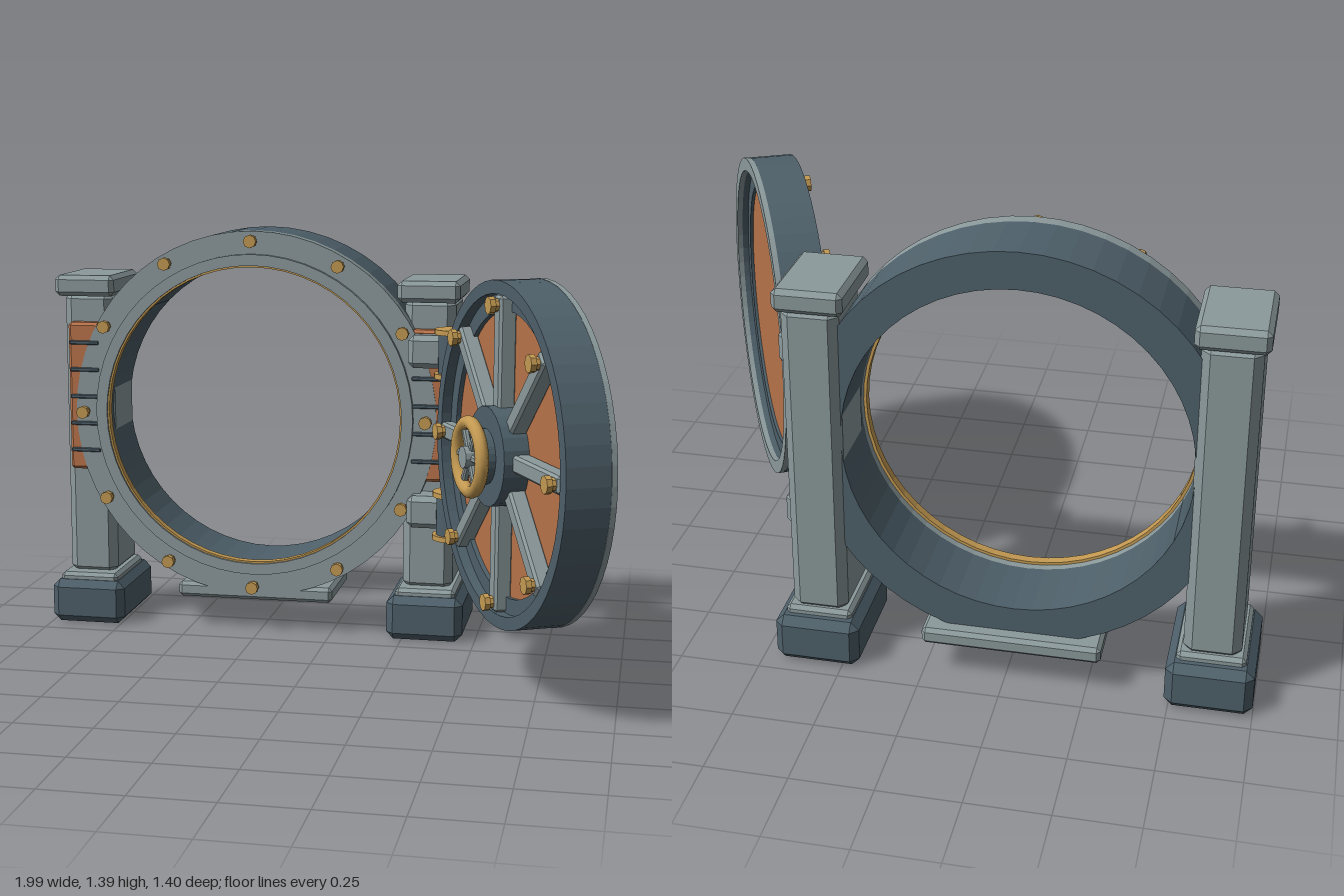
import * as THREE from 'three';
import { ConvexGeometry } from 'three/addons/geometries/ConvexGeometry.js';

const mat = (name, color) => {
  const m = new THREE.MeshStandardMaterial({ color });
  m.name = name;
  return m;
};

// Faceted normals baked into the geometry
const facet = (g) => {
  const f = g.index ? g.toNonIndexed() : g;
  f.computeVertexNormals();
  return f;
};

// Box with every edge chamfered by c
function chamferBox(w, h, d, c) {
  const pts = [], s = [w / 2, h / 2, d / 2];
  for (const i of [-1, 1]) for (const j of [-1, 1]) for (const k of [-1, 1]) {
    for (let full = 0; full < 3; full++) {
      const p = [i, j, k].map((sign, a) => sign * (a === full ? s[a] : s[a] - c));
      pts.push(new THREE.Vector3(...p));
    }
  }
  return new ConvexGeometry(pts);
}

// Square-section ring (or disc when rIn is 0) around the z axis
function ringGeo(rIn, rOut, z0, z1, seg = 56) {
  const pts = [[rIn, z0], [rOut, z0], [rOut, z1], [rIn, z1]];
  if (rIn > 0) pts.push([rIn, z0]);
  const g = new THREE.LatheGeometry(pts.map((p) => new THREE.Vector2(...p)), seg);
  return facet(g.rotateX(Math.PI / 2));
}

export function createModel() {
  const stone = mat('light grey metal', 0x8c9a9c);
  const slate = mat('dark slate metal', 0x4e606a);
  const copper = mat('copper', 0xb8734a);
  const brass = mat('brass', 0xc49a52);
  const model = new THREE.Group();
  model.name = 'roundDoorway';

  const add = (parent, name, geo, material, x = 0, y = 0, z = 0) => {
    const m = new THREE.Mesh(geo, material);
    m.name = name;
    m.position.set(x, y, z);
    parent.add(m);
    return m;
  };
  // Chamfered box given by its extents
  const block = (parent, name, material, x0, x1, y0, y1, z0, z1, c) =>
    add(parent, name, chamferBox(x1 - x0, y1 - y0, z1 - z0, c), material,
      (x0 + x1) / 2, (y0 + y1) / 2, (z0 + z1) / 2);
  // Bolt: slim shank with a wider head, pointing along +z
  const bolt = (parent, x, y, z, r, len) => {
    const g = new THREE.Group();
    g.name = 'bolt';
    g.position.set(x, y, z);
    add(g, 'boltShank', ringGeo(0, r * 0.75, -0.01, len * 0.5, 8), brass);
    add(g, 'boltHead', ringGeo(0, r, len * 0.45, len, 8), brass);
    parent.add(g);
  };

  // Round frame
  const CX = -0.27, CY = 0.757;
  const frame = new THREE.Group();
  frame.name = 'frame';
  frame.position.set(CX, CY, 0);
  model.add(frame);
  add(frame, 'frameBarrel', ringGeo(0.518, 0.63, -0.632, -0.4), slate);
  add(frame, 'frameFlange', ringGeo(0.518, 0.63, -0.4, -0.355), stone);
  add(frame, 'frameLip', ringGeo(0.515, 0.553, -0.356, -0.336), stone);
  add(frame, 'frameLiner', ringGeo(0.509, 0.522, -0.375, -0.345), brass);
  for (let i = 0; i < 12; i++) {
    const a = (i * Math.PI) / 6;
    bolt(frame, 0.597 * Math.cos(a), 0.597 * Math.sin(a), -0.355, 0.022, 0.043);
  }

  // Sill under the frame
  block(model, 'sill', stone, -0.543, 0.003, 0.107, 0.16, -0.68, -0.36, 0.012);

  // Posts with louvred copper panels
  for (const side of [-1, 1]) {
    const post = new THREE.Group();
    post.name = side < 0 ? 'rightPost' : 'leftPost';
    post.position.x = CX + side * 0.598;
    model.add(post);
    block(post, 'postBase', slate, -0.131, 0.131, 0, 0.152, -0.706, -0.322, 0.025);
    block(post, 'postPlinth', stone, -0.103, 0.103, 0.14, 0.176, -0.665, -0.35, 0.012);
    block(post, 'postShaft', stone, -0.086, 0.086, 0.16, 1.17, -0.655, -0.4, 0.027);
    block(post, 'postCap', stone, -0.105, 0.105, 1.155, 1.227, -0.668, -0.358, 0.015);
    block(post, 'copperPanel', copper, -0.059, 0.059, 0.55, 1.065, -0.41, -0.358, 0.01);
    for (let i = 0; i < 5; i++) {
      const y = 0.62 + i * 0.094;
      block(post, 'panelSlat', slate, -0.052, 0.052, y - 0.007, y + 0.007, -0.37, -0.35, 0.003);
    }
  }

  // Hinges
  const HX = 0.432, HZ = -0.292;
  const cyl = (r, h, n = 20) => facet(new THREE.CylinderGeometry(r, r, h, n));
  add(model, 'hingePin', cyl(0.022, 0.6, 12), stone, HX, 0.728, HZ);
  for (const y of [0.455, 0.998]) {
    const hinge = new THREE.Group();
    hinge.name = 'hinge';
    hinge.position.y = y;
    model.add(hinge);
    add(hinge, 'hingeBarrel', cyl(0.06, 0.14), slate, HX, 0, HZ);
    for (const s of [-1, 1]) add(hinge, 'hingeCollar', cyl(0.073, 0.017), brass, HX, s * 0.073, HZ);
    block(hinge, 'hingeSideBracket', stone, 0.385, 0.45, -0.055, 0.055, -0.57, -0.3, 0.018);
    block(hinge, 'hingeFrontBracket', stone, 0.268, 0.42, -0.055, 0.055, -0.42, -0.3, 0.018);
  }

  // Open door, hinged at its local -x edge
  const door = new THREE.Group();
  door.name = 'door';
  door.position.set(0.684, CY, 0.187);
  door.rotation.y = -1.105;
  model.add(door);
  add(door, 'doorRim', ringGeo(0.488, 0.529, -0.06, 0.0775), slate);
  add(door, 'doorBackRing', ringGeo(0.488, 0.53, -0.0775, -0.06), stone);
  add(door, 'doorInnerRing', ringGeo(0.438, 0.49, -0.04, 0.045), slate);
  add(door, 'doorPanel', ringGeo(0, 0.442, -0.03, 0.03), copper);
  for (const y of [-0.272, 0.271]) {
    block(door, 'hingeStrap', stone, -0.545, -0.43, y - 0.05, y + 0.05, -0.035, 0.04, 0.012);
  }

  // Spokes with end bolts
  for (let i = 0; i < 8; i++) {
    const arm = new THREE.Group();
    arm.name = 'spokeArm';
    arm.rotation.z = (i * Math.PI) / 4;
    door.add(arm);
    block(arm, 'spoke', stone, 0.1, 0.484, -0.027, 0.027, 0.025, 0.082, 0.008);
    bolt(arm, 0.455, 0, 0.08, 0.027, 0.032);
  }

  // Hub and handwheel
  add(door, 'hub', ringGeo(0, 0.153, 0.02, 0.11, 24), slate);
  add(door, 'hubStep', ringGeo(0, 0.085, 0.1, 0.14, 24), slate);
  add(door, 'wheelRim', new THREE.TorusGeometry(0.105, 0.021, 10, 32), brass, 0, 0, 0.162);
  for (let i = 0; i < 3; i++) {
    const bar = add(door, 'wheelBar', chamferBox(0.2, 0.022, 0.02, 0.005), stone, 0, 0, 0.16);
    bar.rotation.z = (i * Math.PI) / 3;
  }
  add(door, 'wheelKnob', ringGeo(0, 0.034, 0.13, 0.185, 12), stone);
  return model;
}
